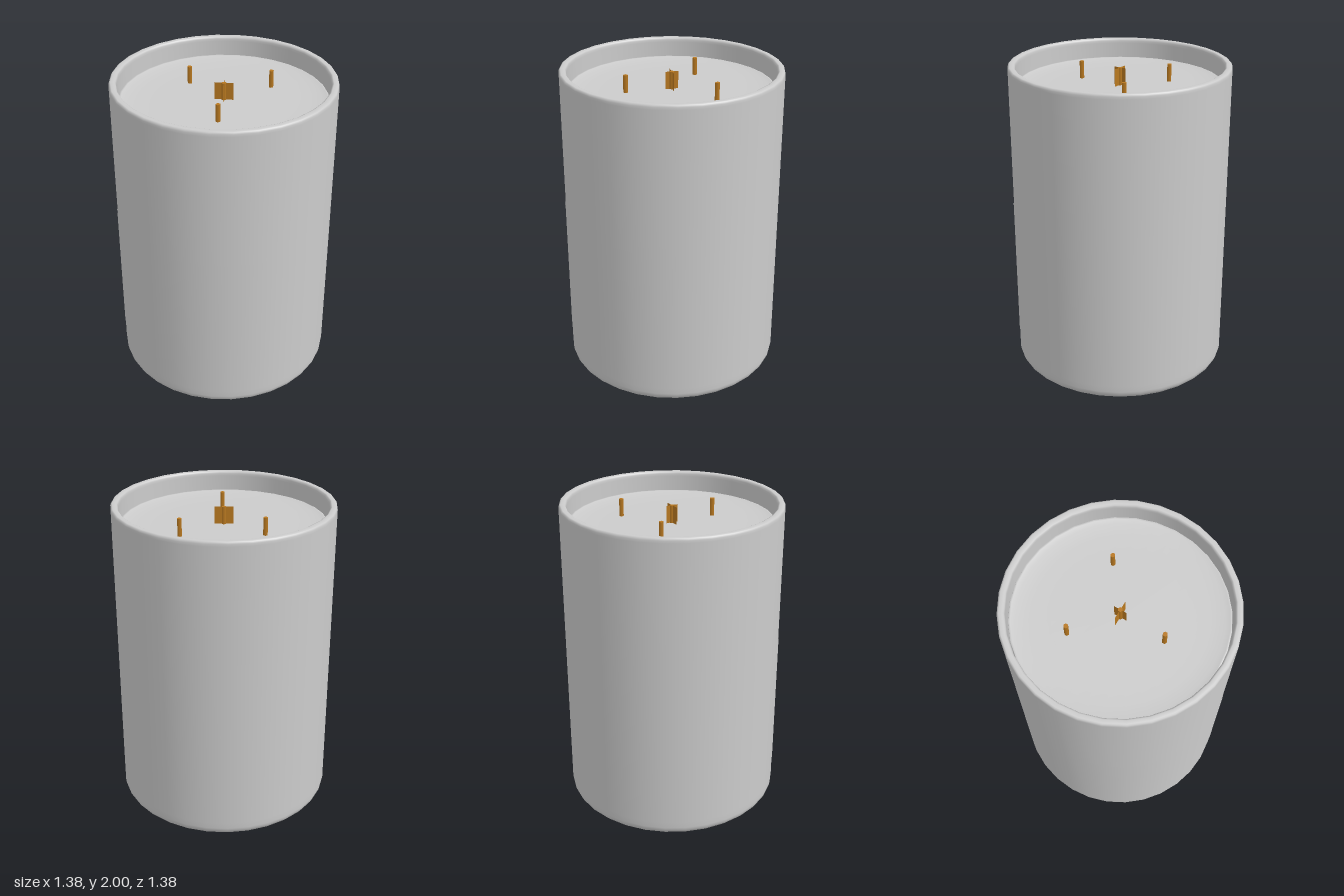
import * as THREE from 'three';

const SIDES = 32;
const grey = new THREE.MeshStandardMaterial({ color: 0xcccccc });
const greyThin = new THREE.MeshStandardMaterial({ color: 0xcccccc, side: THREE.DoubleSide });
const wickColor = new THREE.MeshStandardMaterial({ color: 0xb87820 });
const wickThin = new THREE.MeshStandardMaterial({ color: 0xb87820, side: THREE.DoubleSide });

function lathe(points) {
  return new THREE.LatheGeometry(points.map(([r, y]) => new THREE.Vector2(r, y)), SIDES);
}

function add(parent, name, geometry, material, x = 0, y = 0, z = 0) {
  const mesh = new THREE.Mesh(geometry, material);
  mesh.name = name;
  mesh.position.set(x, y, z);
  parent.add(mesh);
  return mesh;
}

export function createModel() {
  const candle = new THREE.Group();
  candle.name = 'candle';

  // Open jar: rounded foot, straight wall, softened rim and inner floor
  const profile = [[0, 0], [0.6, 0], [0.63, 0]];
  for (let i = 1; i <= 5; i++) {
    const a = (i / 5) * Math.PI / 2;
    profile.push([0.63 + 0.06 * Math.sin(a), 0.06 - 0.06 * Math.cos(a)]);
  }
  profile.push([0.69, 0.1], [0.69, 1.97], [0.69, 1.985], [0.686, 1.996], [0.678, 2],
    [0.657, 2], [0.649, 1.996], [0.645, 1.985], [0.645, 1.97], [0.645, 0.12], [0.6, 0.07], [0, 0.07]);
  add(candle, 'jar', lathe(profile), grey);

  // Wax fill, its surface slightly raised towards the glass
  add(candle, 'wax', lathe([[0, 0.075], [0.6, 0.075], [0.64, 0.125], [0.64, 1.87],
    [0.638, 1.876], [0.628, 1.875], [0.6, 1.867], [0.52, 1.862], [0.4, 1.86], [0, 1.86]]), grey);

  // Blank label wrapped around the front half
  const step = Math.PI * 2 / SIDES;
  const label = new THREE.CylinderGeometry(0.6925, 0.6925, 0.91, 14, 1, true, -7 * step, 14 * step);
  add(candle, 'label', label, greyThin, 0, 0.655, 0);

  // Four wicks: one in the middle, three around it
  const wickGeometry = new THREE.CylinderGeometry(0.015, 0.015, 0.12, 6);
  for (const [x, z] of [[0, 0], [-0.24, -0.21], [0.27, -0.21], [0, 0.29]]) {
    add(candle, 'wick', wickGeometry, wickColor, x, 1.91, z);
  }

  // Crossed thin fins on the middle wick
  add(candle, 'wickFin', new THREE.PlaneGeometry(0.115, 0.12), wickThin, 0, 1.91, 0);
  add(candle, 'wickFin', new THREE.PlaneGeometry(0.08, 0.12), wickThin, 0, 1.91, 0).rotation.y = Math.PI / 2;

  return candle;
}
